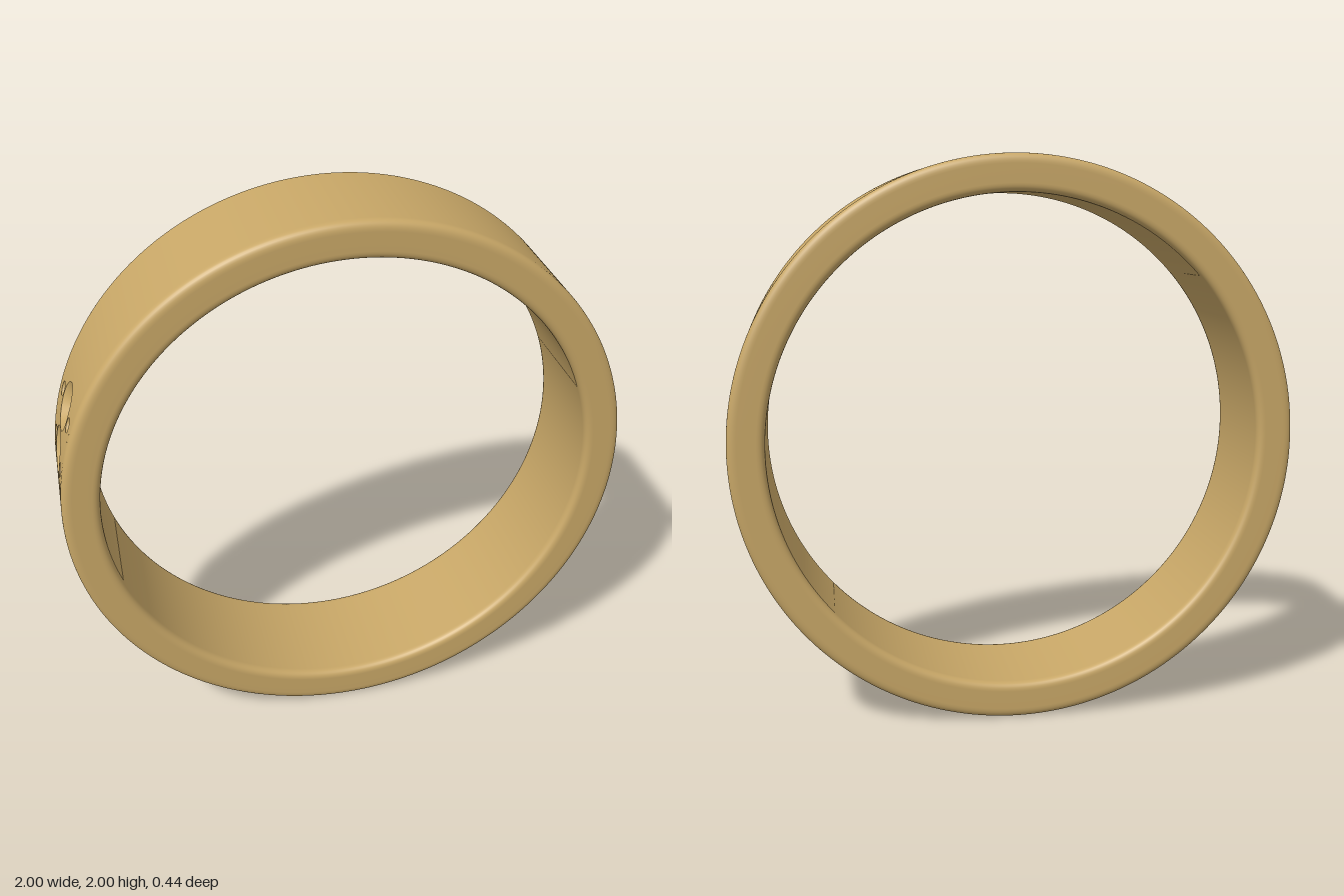
import * as THREE from 'three';

const DEG = Math.PI / 180;
const HALF_FLAT = 0.185; // half width of the straight outer face
const HALF_WIDTH = 0.22;
const INNER = 0.87;
const SPLIT = 0.092; // border between the centre strip and the side strips

const material = new THREE.MeshStandardMaterial({ color: 0xc8a767, side: THREE.DoubleSide });

// Wraps flat coordinates (angle, across, height) around the ring of radius 1.
function wrap(geometry, radialNormals) {
  const p = geometry.attributes.position;
  const normals = [];
  for (let i = 0; i < p.count; i++) {
    const a = p.getX(i), r = 1 + p.getZ(i);
    p.setXYZ(i, r * Math.cos(a), r * Math.sin(a), p.getY(i));
    normals.push(Math.cos(a), Math.sin(a), 0);
  }
  if (radialNormals) geometry.setAttribute('normal', new THREE.Float32BufferAttribute(normals, 3));
  else geometry.computeVertexNormals();
  return geometry;
}

// Skins closed loops of points, ordered from the outside in.
function skin(loops) {
  const n = loops[0].length, index = [];
  for (let k = 0; k < loops.length - 1; k++) {
    for (let i = 0; i < n; i++) {
      const j = (i + 1) % n, o = k * n, q = o + n;
      index.push(o + i, o + j, q + j, o + i, q + j, q + i);
    }
  }
  const geometry = new THREE.BufferGeometry();
  geometry.setAttribute('position', new THREE.Float32BufferAttribute(loops.flat(2), 3));
  geometry.setIndex(index);
  return geometry;
}

function add(group, name, geometry) {
  const mesh = new THREE.Mesh(geometry, material);
  mesh.name = name;
  group.add(mesh);
}

// Evenly sampled rectangle outline, counter-clockwise.
function outline(a0, a1, z0, z1, steps = 20) {
  const c = [[a0, z0], [a1, z0], [a1, z1], [a0, z1]], points = [];
  c.forEach(([a, z], k) => {
    const [b, w] = c[(k + 1) % 4];
    for (let i = 0; i < steps; i++) points.push([a + (b - a) * i / steps, z + (w - z) * i / steps]);
  });
  return points;
}

// One rectangular piece of the outer face with a round pit sunk into it.
// The pit profile lists [fraction of radius, depth].
function pitTile(group, name, angle, z0, z1, zHole, radius, profile) {
  const edge = outline(angle - 5 * DEG, angle + 5 * DEG, z0, z1);
  const dirs = edge.map(([a, z]) => new THREE.Vector2(a - angle, z - zHole).normalize());
  const plate = [0, 0.25, 0.5, 0.75, 1].map(t => edge.map(([a, z], i) => [
    THREE.MathUtils.lerp(a, angle + radius * dirs[i].x, t),
    THREE.MathUtils.lerp(z, zHole + radius * dirs[i].y, t), 0]));
  const pit = profile.map(([s, depth]) => dirs.map(d =>
    [angle + s * radius * d.x, zHole + s * radius * d.y, -depth]));
  add(group, name + 'Surround', wrap(skin(plate), true));
  add(group, name, wrap(skin(pit), false));
}

export function createModel() {
  const ring = new THREE.Group();
  ring.name = 'ring';

  // Rounded rims and the smooth inside
  const path = new THREE.Path();
  path.moveTo(1, HALF_FLAT);
  path.lineTo(1, HALF_FLAT + 0.005);
  path.quadraticCurveTo(1, HALF_WIDTH, 0.965, HALF_WIDTH);
  path.lineTo(0.9, HALF_WIDTH);
  path.quadraticCurveTo(INNER, HALF_WIDTH, INNER, 0.19);
  path.lineTo(INNER, -0.19);
  path.quadraticCurveTo(INNER, -HALF_WIDTH, 0.9, -HALF_WIDTH);
  path.lineTo(0.965, -HALF_WIDTH);
  path.quadraticCurveTo(1, -HALF_WIDTH, 1, -HALF_FLAT - 0.005);
  path.lineTo(1, -HALF_FLAT);
  add(ring, 'rimsAndInside', new THREE.LatheGeometry(path.getPoints(8), 360).rotateX(Math.PI / 2));

  // Plain stretches of the outer face
  for (const [name, from, to] of [['upperBand', 25, 155], ['lowerBand', 175, 365]]) {
    const flat = new THREE.PlaneGeometry((to - from) * DEG, 2 * HALF_FLAT, to - from, 1);
    flat.translate((from + to) / 2 * DEG, 0, 0);
    add(ring, name, wrap(flat, true));
  }

  // Conical stone seats, each flanked by two small round pits
  const cone = [0, 0.25, 0.5, 0.75, 0.99].map(t => [1 - t, 0.085 * t]);
  const bowl = [0, 15, 30, 45, 60, 75, 89].map(d => [Math.cos(d * DEG), 0.025 * Math.sin(d * DEG)]);
  for (const degrees of [10, 20, 160, 170]) {
    const setting = new THREE.Group();
    setting.name = (degrees < 90 ? 'left' : 'right') + 'StoneSetting';
    const a = degrees * DEG;
    pitTile(setting, 'stoneSeat', a, -SPLIT, SPLIT, 0, 0.085, cone);
    pitTile(setting, 'frontPit', a, SPLIT, HALF_FLAT, 0.121, 0.026, bowl);
    pitTile(setting, 'backPit', a, -HALF_FLAT, -SPLIT, -0.121, 0.026, bowl);
    ring.add(setting);
  }

  ring.position.y = 1;
  const model = new THREE.Group();
  model.name = 'ringModel';
  model.add(ring);
  return model;
}
